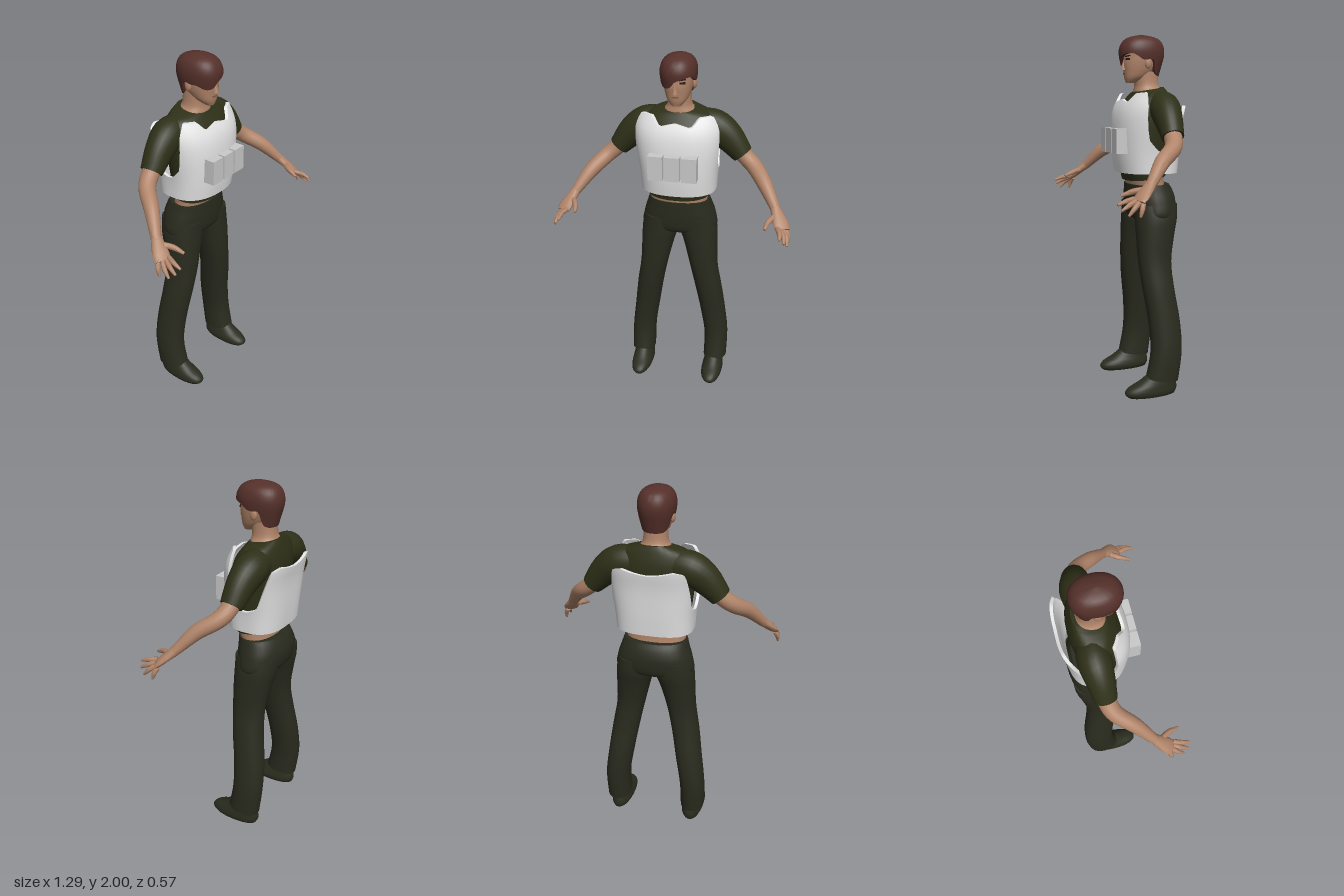
import * as THREE from 'three';
import { toCreasedNormals } from 'three/addons/utils/BufferGeometryUtils.js';

const mat = (name, color, side = THREE.FrontSide) => {
  const m = new THREE.MeshStandardMaterial({ color, side });
  m.name = name;
  return m;
};
const SEG = 32;
const spow = (v, e) => Math.sign(v) * Math.abs(v) ** e;

// Smooth resampling of rows of numbers (Catmull-Rom on every column)
function spline(rows, n = 4) {
  const out = [];
  for (let i = 0; i < rows.length - 1; i++) {
    const [a, b, c, d] = [rows[Math.max(i - 1, 0)], rows[i], rows[i + 1], rows[Math.min(i + 2, rows.length - 1)]];
    for (let k = 0; k < n; k++) {
      const t = k / n;
      out.push(b.map((p, j) => {
        const cubic = 3 * (p - c[j]) + d[j] - a[j];
        const square = 2 * a[j] - 5 * p + 4 * c[j] - d[j];
        return p + 0.5 * t * (c[j] - a[j] + t * (square + t * cubic));
      }));
    }
  }
  out.push(rows[rows.length - 1]);
  return out;
}

// Linear lookup in rows keyed by their first number
function at(rows, x) {
  let i = 0;
  while (i < rows.length - 2 && x > rows[i + 1][0]) i++;
  const t = THREE.MathUtils.clamp((x - rows[i][0]) / (rows[i + 1][0] - rows[i][0]), 0, 1);
  return rows[i].map((v, j) => v + (rows[i + 1][j] - v) * t);
}

// Skin closed rings of points; optionally cap both ends or join last ring to first
function skinRings(rings, { cap = true, loop = false, crease = 0.8 } = {}) {
  const all = [...rings];
  if (cap) {
    const mid = r => {
      const c = r.reduce((s, p) => s.add(p), new THREE.Vector3()).divideScalar(r.length);
      return r.map(() => c);
    };
    all.unshift(mid(rings[0]));
    all.push(mid(rings[rings.length - 1]));
  }
  if (loop) all.push(rings[0]);
  const n = rings[0].length, index = [];
  for (let i = 0; i < all.length - 1; i++) {
    for (let j = 0; j < n; j++) {
      const k = (j + 1) % n, a = i * n, b = a + n;
      index.push(a + j, a + k, b + k, a + j, b + k, b + j);
    }
  }
  const g = new THREE.BufferGeometry();
  g.setAttribute('position', new THREE.Float32BufferAttribute(all.flat().flatMap(p => [p.x, p.y, p.z]), 3));
  g.setIndex(index);
  return toCreasedNormals(g, crease);
}

// Horizontal rings, bottom to top: [y, xMin, xMax, zFront, zBack, tilt]; s mirrors x
function stack(rows, s = 1, e = 0.9) {
  return skinRings(spline(rows).map(([y, x0, x1, zf, zb, tilt = 0]) =>
    Array.from({ length: SEG }, (_, j) => {
      const a = j / SEG * Math.PI * 2, c = Math.cos(a);
      return new THREE.Vector3(s * (x0 + x1) / 2 + (x1 - x0) / 2 * spow(Math.sin(a), e), y + tilt * c,
        (zf + zb) / 2 + (zf - zb) / 2 * spow(c, e));
    })));
}

// Rings square to a path: [x, y, z, width radius, height radius]
function limb(rows, s = 1, n = 16) {
  const pts = spline(rows), up = new THREE.Vector3(0, 1, 0);
  const pos = pts.map(p => new THREE.Vector3(s * p[0], p[1], p[2]));
  return skinRings(pts.map((p, i) => {
    const T = pos[Math.min(i + 1, pos.length - 1)].clone().sub(pos[Math.max(i - 1, 0)]).normalize();
    const N = T.clone().cross(up).normalize(), M = N.clone().cross(T);
    return Array.from({ length: n }, (_, j) => {
      const a = j / n * Math.PI * 2;
      return pos[i].clone().addScaledVector(N, p[3] * Math.sin(a)).addScaledVector(M, p[4] * Math.cos(a));
    });
  }));
}

// Thick wrap-around shell: sections [y, halfWidth, zFront, zBack], edge heights by angle from the front
function shell(sections, bottom, top, thick, eFront, eBack, n = 72, m = 14) {
  const rows = spline(sections, 5);
  const ring = (t, inset) => Array.from({ length: n }, (_, j) => {
    const a = (j / n * 2 - 1) * Math.PI, c = Math.cos(a);
    const y = THREE.MathUtils.lerp(bottom(a), top(a), Math.sin(t * Math.PI / 2));
    const [, w, zf, zb] = at(rows, y), e = c > 0 ? eFront : eBack;
    return new THREE.Vector3(Math.max(w - inset, 0) * spow(Math.sin(a), e), y,
      (zf + zb) / 2 + Math.max((zf - zb) / 2 - inset, 0) * spow(c, e));
  });
  const outer = Array.from({ length: m + 1 }, (_, i) => ring(i / m, 0));
  const inner = Array.from({ length: m + 1 }, (_, i) => ring(1 - i / m, thick));
  return skinRings([...outer, ...inner], { cap: false, loop: true, crease: 0.9 });
}

export function createModel() {
  const model = new THREE.Group();
  const skin = mat('skin', 0xb08469), hairMat = mat('hair brown', 0x55302a, THREE.DoubleSide);
  const olive = mat('shirt olive', 0x2e3018), trouser = mat('trouser green', 0x2a2b1e), shoeMat = mat('shoe green', 0x2b2d1f);
  const white = mat('vest white', 0xe4e4e4, THREE.DoubleSide), grey = mat('pouch grey', 0xcacaca);
  const dark = mat('eye dark', 0x2a1a16), lipMat = mat('lip', 0x87564a);
  const add = (name, geo, m, x = 0, y = 0, z = 0) => {
    const o = new THREE.Mesh(geo, m);
    o.name = name;
    o.position.set(x, y, z);
    model.add(o);
    return o;
  };

  // Head, neck and bare waist
  add('head', stack([[1.738, -0.026, 0.026, 0.018, -0.03], [1.765, -0.052, 0.052, 0.026, -0.09], [1.8, -0.068, 0.068, 0.03, -0.14],
    [1.84, -0.077, 0.077, 0.034, -0.17], [1.88, -0.081, 0.081, 0.031, -0.18], [1.92, -0.08, 0.08, 0.03, -0.18],
    [1.96, -0.062, 0.062, 0.0, -0.16], [1.98, -0.03, 0.03, -0.04, -0.12]]), skin);
  add('neck', stack([[1.62, -0.12, 0.12, -0.03, -0.2], [1.69, -0.088, 0.088, -0.03, -0.192], [1.725, -0.066, 0.066, -0.035, -0.17],
    [1.8, -0.062, 0.062, -0.03, -0.165]]), skin);
  add('waist', stack([[1.1, -0.165, 0.165, -0.005, -0.2], [1.2, -0.163, 0.163, 0.005, -0.185], [1.3, -0.165, 0.165, 0.02, -0.185]]), skin);

  // Face details
  add('nose', new THREE.ConeGeometry(0.016, 0.058, 8), skin, 0, 1.836, 0.034);
  add('mouth', new THREE.BoxGeometry(0.036, 0.007, 0.008), lipMat, 0, 1.788, 0.027);
  for (const s of [1, -1]) {
    add('eye', new THREE.BoxGeometry(0.03, 0.01, 0.008), dark, s * 0.037, 1.864, 0.022).rotation.y = s * 0.4;
    const brow = add('eyebrow', new THREE.BoxGeometry(0.036, 0.006, 0.008), dark, s * 0.037, 1.881, 0.023);
    brow.rotation.set(0, s * 0.4, s * 0.12);
    add('ear', new THREE.SphereGeometry(1, 16, 12).scale(0.013, 0.03, 0.02), skin, s * 0.083, 1.842, -0.08);
  }

  // Hair with a fringe swept over the right brow
  const hairline = spline([[-3.15, 1.775], [-2.2, 1.785], [-1.85, 1.86], [-1.5, 1.855], [-1.2, 1.855], [-0.8, 1.835], [-0.35, 1.838],
    [0, 1.872], [0.4, 1.89], [0.9, 1.895], [1.25, 1.875], [1.5, 1.86], [1.85, 1.86], [2.2, 1.785], [3.15, 1.775]]);
  add('hair', shell([[1.76, 0.072, 0.035, -0.165], [1.84, 0.089, 0.046, -0.188], [1.88, 0.096, 0.054, -0.199], [1.92, 0.097, 0.055, -0.2],
    [1.96, 0.084, 0.036, -0.185], [1.985, 0.055, 0.0, -0.15], [2.0, 0, -0.07, -0.07]],
    a => at(hairline, a)[1], () => 2, 0.02, 0.9, 0.9), hairMat);

  // Shirt body
  add('shirt', stack([[1.215, -0.174, 0.174, 0.025, -0.195, -0.016], [1.3, -0.182, 0.182, 0.045, -0.2, 0], [1.45, -0.2, 0.2, 0.055, -0.215, 0],
    [1.55, -0.21, 0.21, 0.045, -0.225, 0], [1.62, -0.205, 0.205, 0.02, -0.222, 0], [1.675, -0.175, 0.175, -0.015, -0.208, -0.005],
    [1.703, -0.098, 0.098, -0.026, -0.196, -0.014]]), olive);

  // Armoured vest: low under the arms, shoulder flaps in front, high panel behind
  const vestTop = [[0, 1.65], [0.3, 1.63], [0.5, 1.68], [0.9, 1.685], [1.1, 1.62], [1.3, 1.43], [1.6, 1.365], [1.95, 1.39], [2.2, 1.5], [2.4, 1.6], [2.7, 1.615], [3.15, 1.59]];
  add('vest', shell([[1.24, 0.21, 0.068, -0.252], [1.35, 0.218, 0.082, -0.262], [1.5, 0.24, 0.084, -0.273], [1.6, 0.25, 0.068, -0.288],
    [1.69, 0.238, 0.02, -0.292]], () => 1.245, a => at(vestTop, Math.abs(a))[1], 0.016, 0.85, 0.7, 96), white);
  for (const x of [-0.092, 0, 0.092]) add('pouch', new THREE.BoxGeometry(0.08, 0.135, 0.07), grey, x, 1.423, 0.088);

  // Trouser seat
  add('trouserSeat', stack([[0.975, -0.14, 0.14, -0.03, -0.2], [1.0, -0.215, 0.215, -0.002, -0.238], [1.08, -0.206, 0.206, 0.01, -0.253],
    [1.14, -0.187, 0.187, 0.012, -0.24], [1.178, -0.175, 0.175, 0.012, -0.218]]), trouser);

  for (const s of [1, -1]) {
    const side = s > 0 ? 'left' : 'right';
    // Trouser leg and shoe; x limits are mirrored about the centre line
    add(side + 'TrouserLeg', stack([[0.09, 0.16, 0.3, -0.02, -0.205, 0.014], [0.25, 0.158, 0.3, -0.048, -0.226, 0], [0.42, 0.132, 0.28, -0.042, -0.222, 0],
      [0.6, 0.1, 0.255, -0.018, -0.198, 0], [0.75, 0.068, 0.23, -0.004, -0.19, 0], [0.9, 0.03, 0.223, 0.0, -0.215, 0],
      [0.99, 0.003, 0.218, 0.0, -0.236, 0], [1.07, 0.02, 0.2, 0.0, -0.24, 0]], s), trouser);
    add(side + 'Shoe', stack([[0, 0.172, 0.278, 0.09, -0.19], [0.022, 0.16, 0.287, 0.107, -0.2], [0.05, 0.163, 0.285, 0.085, -0.2],
      [0.08, 0.172, 0.28, 0.025, -0.192], [0.13, 0.185, 0.27, -0.045, -0.18]], s), shoeMat);

    // Sleeve and bare arm
    add(side + 'Sleeve', limb([[0.1, 1.605, -0.13, 0.075, 0.085], [0.19, 1.595, -0.13, 0.086, 0.092], [0.27, 1.54, -0.122, 0.075, 0.082],
      [0.348, 1.452, -0.113, 0.06, 0.058]], s, 24), olive);
    add(side + 'Arm', limb([[0.29, 1.52, -0.115, 0.05, 0.05], [0.36, 1.445, -0.11, 0.048, 0.046], [0.42, 1.395, -0.08, 0.045, 0.044],
      [0.485, 1.335, 0.005, 0.04, 0.04], [0.55, 1.245, 0.085, 0.028, 0.027], [0.565, 1.225, 0.105, 0.027, 0.024]], s, 20), skin);

    // Hand: palm, four fingers and thumb
    add(side + 'Palm', limb([[0.55, 1.245, 0.085, 0.026, 0.025], [0.572, 1.212, 0.12, 0.036, 0.022], [0.592, 1.18, 0.155, 0.044, 0.019],
      [0.604, 1.158, 0.178, 0.04, 0.013]], s), skin);
    const fingers = [[0.575, 1.172, 0.19, 0.594, 1.148, 0.28], [0.592, 1.162, 0.187, 0.618, 1.122, 0.268],
      [0.608, 1.155, 0.176, 0.634, 1.098, 0.238], [0.618, 1.153, 0.158, 0.638, 1.09, 0.18], [0.558, 1.212, 0.125, 0.513, 1.18, 0.235]];
    fingers.forEach(([x, y, z, u, v, w], i) => {
      const thumb = i === 4, r = thumb ? 0.015 : 0.0125;
      const mx = (x + u) / 2 + (thumb ? -0.008 : 0.006);
      add(side + (thumb ? 'Thumb' : 'Finger'), limb([[x, y, z, r, r], [mx, (y + v) / 2 + 0.004, (z + w) / 2, r, r],
        [u, v, w, r * 0.5, r * 0.5]], s, 10), skin);
    });
  }
  return model;
}
